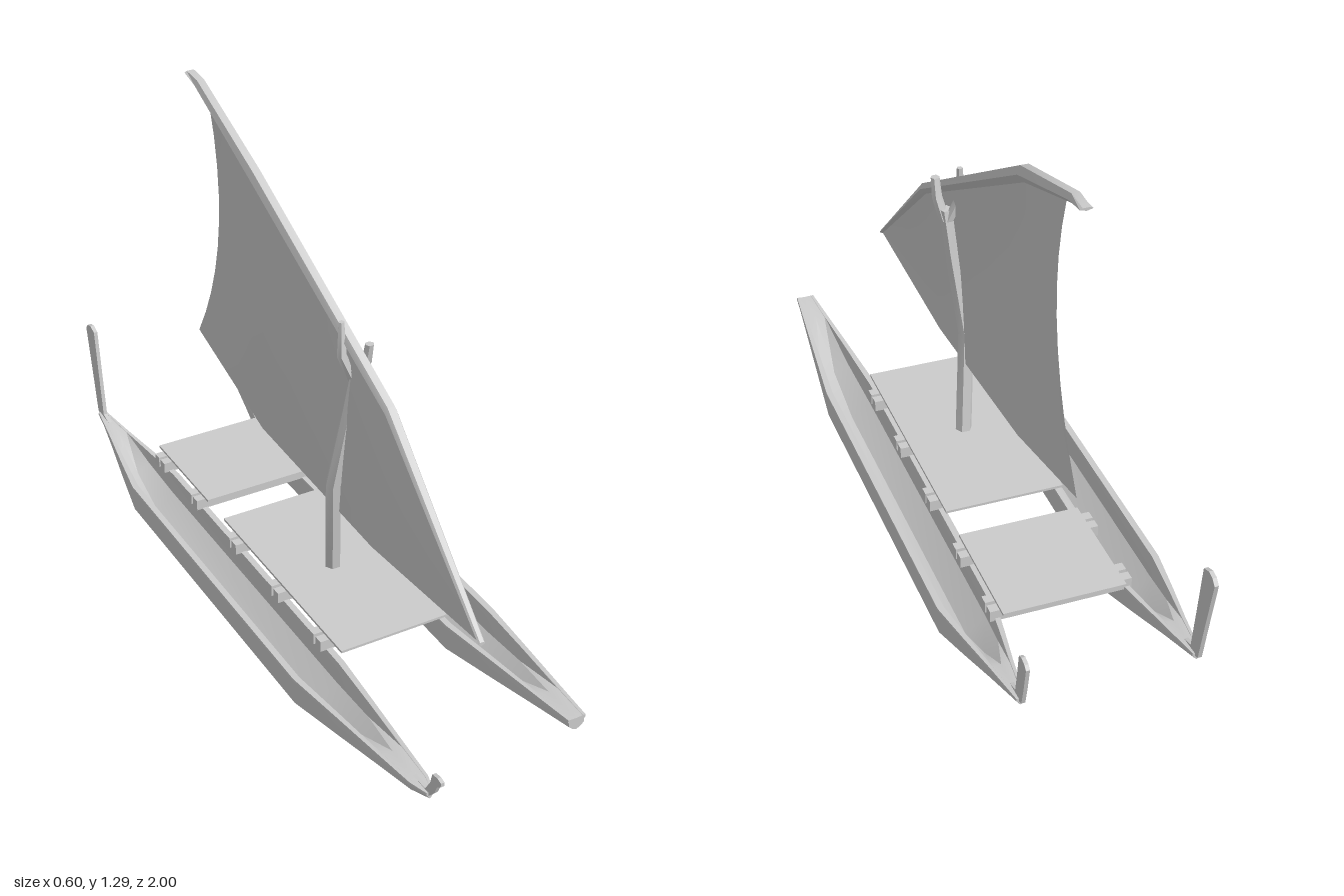
import * as THREE from 'three';
import { toCreasedNormals } from 'three/addons/utils/BufferGeometryUtils.js';

const material = new THREE.MeshStandardMaterial({ color: 0xcccccc });
const thinMaterial = new THREE.MeshStandardMaterial({ color: 0xcccccc, side: THREE.DoubleSide });

function addMesh(parent, name, geometry, mat = material) {
  const mesh = new THREE.Mesh(geometry, mat);
  mesh.name = name;
  parent.add(mesh);
  return mesh;
}

// Skin a list of equal-length cross-sections; closed rings get end caps
function loft(sections, closed = true, crease = 0.5) {
  const n = sections[0].length;
  const index = [];
  for (let s = 0; s < sections.length - 1; s++) {
    for (let i = 0; i < (closed ? n : n - 1); i++) {
      const j = (i + 1) % n;
      const a = s * n, b = a + n;
      index.push(a + i, a + j, b + j, a + i, b + j, b + i);
    }
  }
  if (closed) {
    const last = (sections.length - 1) * n;
    for (let i = 1; i < n - 1; i++) index.push(0, i + 1, i, last, last + i, last + i + 1);
  }
  const geometry = new THREE.BufferGeometry();
  geometry.setAttribute('position', new THREE.Float32BufferAttribute(sections.flat(2), 3));
  geometry.setIndex(index);
  return toCreasedNormals(geometry, crease);
}

// Hull with a rim, rounded bilge and hollow inside, lofted from stern to bow
function hullGeometry(bow) {
  // z, half width, rim height, chine height, keel height, depth of the hollow
  const stations = [
    [-0.93, 0.008, 0.15, 0.14, 0.13, 0.001],
    [-0.8, 0.028, 0.142, 0.108, 0.088, 0.002],
    [-0.68, 0.049, 0.135, 0.08, 0.046, 0.06],
    [-0.55, 0.07, 0.127, 0.05, 0, 0.105],
    [0.42, 0.07, 0.127, 0.05, 0, 0.105],
    [0.6, 0.052, 0.136, 0.079, 0.043, 0.07],
    [0.78, 0.034, 0.144, 0.109, 0.085, 0.002],
    [0.9, 0.022, 0.15, 0.128, 0.113, 0.001],
  ];
  if (bow) stations.push([0.95, 0.006, 0.15, 0.14, 0.13, 0.001]);
  return loft(stations.map(([z, w, rim, chine, keel, deep]) => {
    const bilge = keel + (chine - keel) * 0.3;
    const inner = w * 0.8;
    const right = [
      [w * 0.5, bilge], [w, chine], [w, rim - 0.008], [w + 0.004, rim - 0.006], [w + 0.003, rim],
      [inner, rim], [inner * 0.95, rim - deep * 0.6],
    ];
    const left = right.map(([x, y]) => [-x, y]).reverse();
    return [[0, keel], ...right, [0, rim - deep], ...left].map(([x, y]) => [x, y, z]);
  }));
}

// Thin upright piece cut from a side outline of [z, y] points
function plateGeometry(outline, thickness) {
  const shape = new THREE.Shape(outline.map(([z, y]) => new THREE.Vector2(-z, y)));
  const geometry = new THREE.ExtrudeGeometry(shape, { depth: thickness, bevelEnabled: false });
  return geometry.translate(0, 0, -thickness / 2).rotateY(Math.PI / 2);
}

// Upright pole through points [x, y, z, radius]
function poleGeometry(points, sides = 6) {
  return loft(points.map(([x, y, z, r]) => Array.from({ length: sides }, (_, i) => {
    const a = (i / sides) * Math.PI * 2;
    return [x + r * Math.cos(a), y, z - r * Math.sin(a)];
  })), true, 0.9);
}

// Point on a polyline at t from 0 to 1, segments equally spaced in t
function along(points, t) {
  const f = t * (points.length - 1);
  const i = Math.min(Math.floor(f), points.length - 2);
  return points[i].map((v, k) => THREE.MathUtils.lerp(v, points[i + 1][k], f - i));
}

export function createModel() {
  const model = new THREE.Group();
  model.name = 'twinHullSailingCanoe';

  // Two hulls; the right one carries the hooked prow and the taller stern post
  const rightHull = new THREE.Group();
  rightHull.name = 'rightHull';
  rightHull.position.x = -0.225;
  addMesh(rightHull, 'hullShell', hullGeometry(true));
  addMesh(rightHull, 'prowHook', plateGeometry([
    [0.88, 0.148], [0.92, 0.125], [0.95, 0.14], [0.975, 0.17], [0.985, 0.195],
    [1, 0.207], [1, 0.218], [0.985, 0.222], [0.963, 0.217], [0.955, 0.185], [0.935, 0.152],
  ], 0.01));
  addMesh(rightHull, 'sternPost', plateGeometry([
    [-0.87, 0.145], [-0.9, 0.13], [-0.945, 0.148], [-0.965, 0.25], [-0.998, 0.41],
    [-0.985, 0.425], [-0.965, 0.43], [-0.94, 0.42], [-0.922, 0.28], [-0.905, 0.155],
  ], 0.011));

  const leftHull = new THREE.Group();
  leftHull.name = 'leftHull';
  leftHull.position.x = 0.222;
  addMesh(leftHull, 'hullShell', hullGeometry(false));
  addMesh(leftHull, 'sternPost', plateGeometry([
    [-0.87, 0.145], [-0.9, 0.13], [-0.945, 0.148], [-0.957, 0.2], [-0.97, 0.27],
    [-0.96, 0.28], [-0.94, 0.285], [-0.925, 0.278], [-0.915, 0.21], [-0.905, 0.155],
  ], 0.01));
  model.add(rightHull, leftHull);

  // Paired cross beams between the hulls
  for (const z of [0.325, 0.095, -0.15, -0.39, -0.605]) {
    for (const side of [-1, 1]) {
      const beam = addMesh(model, 'crossBeam', new THREE.BoxGeometry(0.375, 0.031, 0.026));
      beam.position.set(0.002, 0.14, z + side * 0.018);
    }
  }

  // Deck platforms
  for (const [name, front, back] of [['frontDeck', 0.42, -0.24], ['rearDeck', -0.34, -0.66]]) {
    const deck = addMesh(model, name, new THREE.BoxGeometry(0.325, 0.007, front - back));
    deck.position.set(0.002, 0.159, (front + back) / 2);
  }

  // Mast with a forked head holding the yard
  addMesh(model, 'mast', poleGeometry([
    [0.002, 0.13, 0.085, 0.023], [-0.022, 0.45, 0.128, 0.022],
    [0.005, 0.68, 0.158, 0.019], [0.016, 0.81, 0.178, 0.018],
  ]));
  addMesh(model, 'mastForkLeft', poleGeometry([
    [0.02, 0.78, 0.176, 0.015], [0.033, 0.84, 0.195, 0.014], [0.034, 0.893, 0.206, 0.012],
  ]));
  addMesh(model, 'mastForkRight', poleGeometry([
    [0.01, 0.78, 0.17, 0.015], [-0.018, 0.85, 0.16, 0.014], [-0.014, 0.94, 0.15, 0.008],
  ]));

  // Bent yard: z, centre x, lower and upper heights, half width
  const yard = [
    [-0.7, -0.001, 1.278, 1.286, 0.016],
    [-0.63, -0.004, 1.255, 1.285, 0.017],
    [-0.28, -0.022, 1.122, 1.17, 0.018],
    [0.35, 0.012, 0.762, 0.796, 0.017],
    [0.8, 0.001, 0.385, 0.396, 0.009],
  ];
  addMesh(model, 'yard', loft(yard.map(([z, x, low, high, w]) => [
    [x, low, z], [x + w, (low + high) / 2, z], [x + w * 0.6, high, z],
    [x - w * 0.6, high, z], [x - w, (low + high) / 2, z],
  ])));

  // Triangular sail between yard and foot, with a hollow trailing edge
  const head = [[0.001, 0.39, 0.8], [0.012, 0.775, 0.35], [-0.022, 1.14, -0.28], [-0.007, 1.238, -0.575]];
  const foot = [[0.001, 0.388, 0.8], [-0.006, 0.355, 0.3], [-0.015, 0.39, -0.28], [-0.005, 0.495, -0.69]];
  const columns = [];
  for (let c = 0; c <= 12; c++) {
    const u = c / 12;
    const top = along(head, u), bottom = along(foot, u);
    columns.push(Array.from({ length: 10 }, (_, r) => {
      const v = r / 9;
      const [x, y, z] = along([top, bottom], v);
      const bow = 4 * v * (1 - v);
      return [x - 0.006 * bow * Math.sin(Math.PI * u), y, z + 0.09 * bow * u ** 3];
    }));
  }
  addMesh(model, 'sail', loft(columns, false, 0.8), thinMaterial);

  return model;
}
